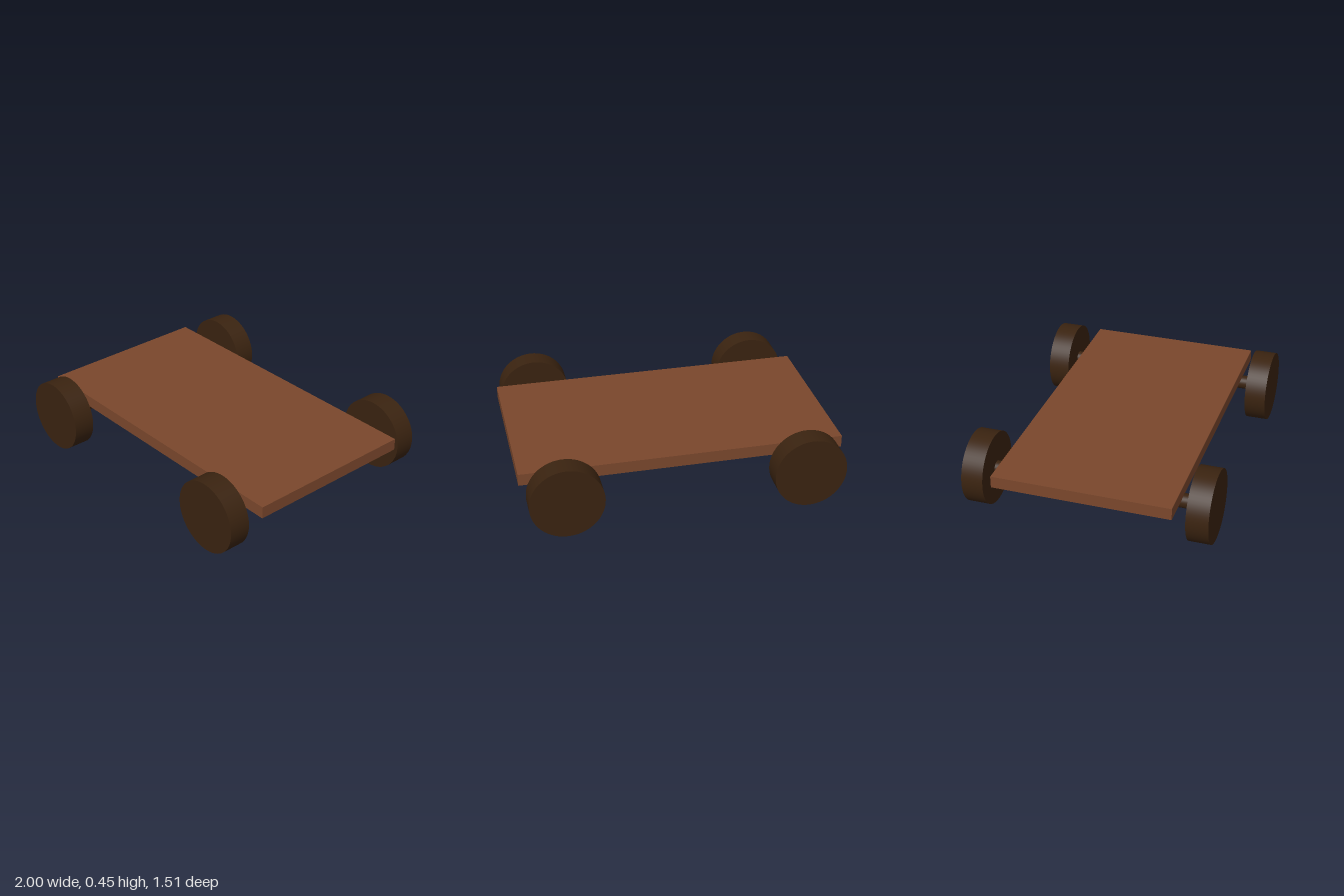
import * as THREE from 'three';

const WHEEL_RADIUS = 0.225;
const AXLE_RADIUS = 0.044;
const AXLE_X = 0.742;

export function createModel() {
  const model = new THREE.Group();
  model.name = 'cart';

  const deckWood = new THREE.MeshStandardMaterial({ color: 0x7a472c });
  const darkWood = new THREE.MeshStandardMaterial({ color: 0x3a2310 });

  // Flat plank resting on the axles
  const deck = new THREE.Mesh(new THREE.BoxGeometry(2, 0.075, 1.1), deckWood);
  deck.name = 'deck';
  deck.position.y = 0.297;
  model.add(deck);

  // Solid disc wheels and round axles, both lying along z
  const wheelGeometry = new THREE.CylinderGeometry(WHEEL_RADIUS, WHEEL_RADIUS, 0.135, 64).rotateX(Math.PI / 2);
  const axleGeometry = new THREE.CylinderGeometry(AXLE_RADIUS, AXLE_RADIUS, 1.3, 32).rotateX(Math.PI / 2);

  for (const side of [-1, 1]) {
    const wheelSet = new THREE.Group();
    const label = side > 0 ? 'left' : 'right';
    wheelSet.name = `${label}WheelSet`;
    wheelSet.position.set(side * AXLE_X, WHEEL_RADIUS, 0);

    const axle = new THREE.Mesh(axleGeometry, darkWood);
    axle.name = `${label}Axle`;
    wheelSet.add(axle);

    for (const end of [-1, 1]) {
      const wheel = new THREE.Mesh(wheelGeometry, darkWood);
      wheel.name = `${label}${end > 0 ? 'Front' : 'Back'}Wheel`;
      wheel.position.z = end * 0.688;
      wheelSet.add(wheel);
    }
    model.add(wheelSet);
  }

  return model;
}
